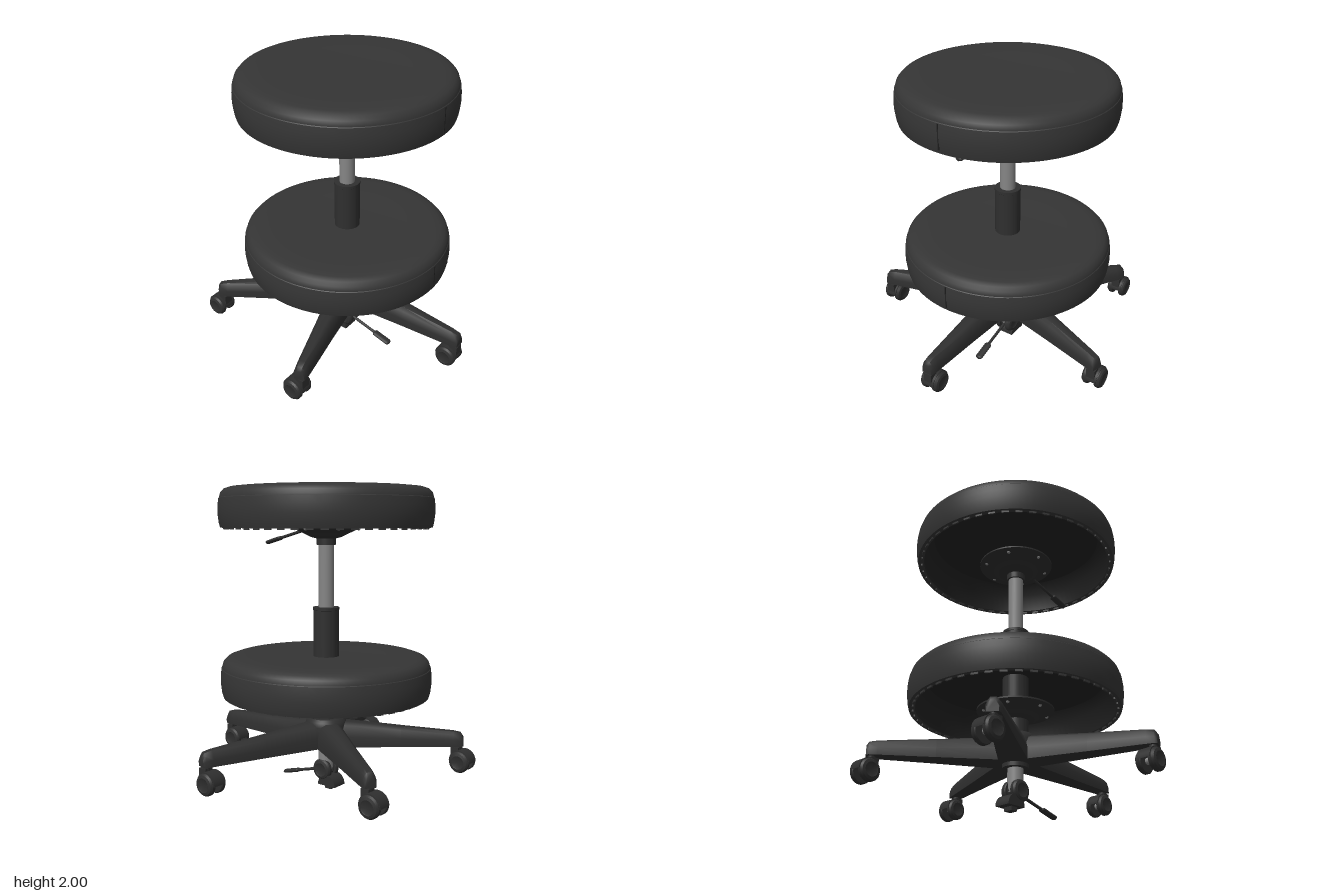
import * as THREE from 'three';
import { toCreasedNormals } from 'three/addons/utils/BufferGeometryUtils.js';

const mat = (name, color) => {
  const m = new THREE.MeshStandardMaterial({ color });
  m.name = name;
  return m;
};

export function createModel() {
  const vinyl = mat('vinyl', 0x353535);
  const plastic = mat('blackPlastic', 0x2f2f2f);
  const lining = mat('darkLining', 0x222222);
  const metal = mat('brushedSteel', 0x858585);

  const model = new THREE.Group();
  model.name = 'doubleSeatStool';
  const AXIS = -0.05; // x of the central column

  const add = (parent, name, geo, material, x = 0, y = 0, z = 0) => {
    const m = new THREE.Mesh(geo, material);
    m.name = name;
    m.position.set(x, y, z);
    parent.add(m);
    return m;
  };
  const lathe = (pts, seg = 64) => toCreasedNormals(
    new THREE.LatheGeometry(pts.map(p => new THREE.Vector2(p[0], p[1])), seg), 0.6);
  const rod = (r, y0, y1, r2 = r) => new THREE.CylinderGeometry(r2, r, y1 - y0, 40).translate(0, (y0 + y1) / 2, 0);

  // Angled release lever: thin rod with a flattened grip
  function lever(parent, x0, y0, x1, y1) {
    const g = new THREE.Group();
    g.name = 'heightLever';
    const len = Math.hypot(x1 - x0, y1 - y0);
    add(g, 'leverRod', new THREE.CylinderGeometry(0.01, 0.01, len, 12).rotateZ(Math.PI / 2), plastic, len / 2);
    add(g, 'leverGrip', new THREE.CapsuleGeometry(0.016, 0.11, 6, 16).rotateZ(Math.PI / 2).scale(1, 0.85, 1.6),
      plastic, len - 0.07);
    g.position.set(x0, y0, 0);
    g.rotation.z = Math.atan2(y1 - y0, x1 - x0);
    parent.add(g);
  }

  // Cushion: hollow underneath, piped edge, staples and a mounting dish
  function seat(name, y) {
    const g = new THREE.Group();
    g.name = name;
    g.position.set(AXIS, y, 0);
    add(g, 'cushion', lathe([
      [0.64, 0.005], [0.68, 0], [0.688, 0.03], [0.695, 0.09], [0.694, 0.14], [0.688, 0.185], [0.684, 0.189],
      [0.683, 0.195], [0.676, 0.22], [0.655, 0.242], [0.62, 0.254], [0.57, 0.259], [0.4, 0.254], [0, 0.25],
    ], 96), vinyl);
    add(g, 'cushionLining', lathe([
      [0, 0.235], [0.45, 0.235], [0.58, 0.21], [0.63, 0.14], [0.64, 0.005],
    ], 96), lining);
    add(g, 'sideSeam', new THREE.BoxGeometry(0.006, 0.16, 0.008), lining, 0.692, 0.105, 0);
    for (let i = 0; i < 48; i++) {
      const a = (i / 48) * Math.PI * 2;
      const s = add(g, 'staple', new THREE.BoxGeometry(0.01, 0.016, 0.045), vinyl,
        0.655 * Math.cos(a), -0.002, 0.655 * Math.sin(a));
      s.rotation.y = -a;
    }
    add(g, 'mountingDish', lathe([
      [0.05, -0.11], [0.062, -0.11], [0.062, -0.07], [0.1, -0.06], [0.13, -0.045], [0.2, -0.012],
      [0.25, 0.004], [0.25, 0.014], [0.05, 0.014],
    ]), plastic);
    for (let i = 0; i < 6; i++) {
      const a = (i + 0.5) / 6 * Math.PI * 2;
      add(g, 'dishScrew', new THREE.SphereGeometry(0.012, 12, 8), metal, 0.21 * Math.cos(a), -0.006, 0.21 * Math.sin(a));
    }
    model.add(g);
    return g;
  }
  const upper = seat('upperSeat', 1.74);
  lever(upper, 0.1, 0.005, 0.52, -0.105);
  seat('lowerSeat', 0.65);

  // Central column
  const column = new THREE.Group();
  column.name = 'column';
  column.position.x = AXIS;
  model.add(column);
  add(column, 'gasPiston', rod(0.05, 0.12, 1.75), metal);
  add(column, 'columnSleeve', lathe([
    [0.05, 0.275], [0.084, 0.275], [0.084, 1.205], [0.086, 1.207], [0.086, 1.225], [0.05, 1.225],
  ]), plastic);

  // Twin-wheel caster, rolling along x
  const wheelGeo = toCreasedNormals(new THREE.LatheGeometry([
    [0, -0.02], [0.066, -0.02], [0.071, -0.014], [0.071, 0.006], [0.062, 0.018], [0.045, 0.023], [0.04, 0.02], [0, 0.022],
  ].map(p => new THREE.Vector2(...p)), 32), 0.6).rotateX(Math.PI / 2);
  function caster(x, z) {
    const g = new THREE.Group();
    g.name = 'caster';
    g.position.set(x, 0.2, z);
    for (const s of [1, -1]) {
      const w = add(g, 'wheel', wheelGeo, plastic, -0.038, 0, s * 0.045);
      if (s < 0) w.rotation.y = Math.PI;
    }
    // hood between and over the wheels
    add(g, 'hood', new THREE.CylinderGeometry(0.076, 0.076, 0.09, 24, 1, false, 0, Math.PI)
      .rotateX(Math.PI / 2).rotateZ(Math.PI / 2), plastic, -0.038, 0, 0);
    add(g, 'axle', new THREE.CylinderGeometry(0.02, 0.02, 0.08, 16).rotateX(Math.PI / 2), metal, -0.038, 0, 0);
    add(g, 'swivelBlock', new THREE.BoxGeometry(0.055, 0.09, 0.06), plastic, 0.006, 0.045, 0);
    add(g, 'stem', rod(0.024, 0.06, 0.125), plastic);
    model.add(g);
  }

  // Tapering arm lofted from bevelled sections: [distance, half width, top height]
  function armGeometry() {
    const stations = [[0, 0.105, 0.48], [0.13, 0.09, 0.463], [0.5, 0.065, 0.428], [0.85, 0.046, 0.398],
      [0.9, 0.042, 0.388], [0.915, 0.034, 0.365]];
    const b = 0.3;
    const rings = stations.map(([x, w, t]) => [
      [w, b], [-w, b], [-w, b + 0.45 * (t - b)], [-0.75 * w, t - 0.018], [-0.4 * w, t],
      [0.4 * w, t], [0.75 * w, t - 0.018], [w, b + 0.45 * (t - b)],
    ].map(([z, y]) => [x, y, z]));
    const pos = [];
    const n = 8;
    for (let i = 0; i < rings.length - 1; i++) {
      for (let j = 0; j < n; j++) {
        const k = (j + 1) % n;
        const [p, q, r, s] = [rings[i][j], rings[i][k], rings[i + 1][k], rings[i + 1][j]];
        pos.push(...p, ...q, ...r, ...p, ...r, ...s);
      }
    }
    const end = rings[rings.length - 1];
    for (let j = 1; j < n - 1; j++) pos.push(...end[0], ...end[j], ...end[j + 1]);
    const g = new THREE.BufferGeometry();
    g.setAttribute('position', new THREE.Float32BufferAttribute(pos, 3));
    return toCreasedNormals(g, 0.8);
  }

  // Five-star base
  const armGeo = armGeometry();
  for (let i = 0; i < 5; i++) {
    const a = (i / 5) * Math.PI * 2;
    add(model, 'baseArm', armGeo, plastic, AXIS, 0, 0).rotation.y = -a;
    caster(AXIS + 0.88 * Math.cos(a), 0.88 * Math.sin(a));
  }
  add(model, 'baseHub', lathe([
    [0.08, 0.3], [0.13, 0.3], [0.14, 0.44], [0.132, 0.47], [0.115, 0.488], [0.08, 0.488],
  ]), plastic, AXIS, 0, 0);

  // Valve mechanism hanging below the column
  const valve = new THREE.Group();
  valve.name = 'valveMechanism';
  valve.position.x = AXIS;
  model.add(valve);
  for (const s of [1, -1]) {
    const w = add(valve, 'valveDisc', wheelGeo, plastic, 0, 0.13, s * 0.04);
    if (s < 0) w.rotation.y = Math.PI;
  }
  add(valve, 'valveCore', new THREE.CylinderGeometry(0.05, 0.05, 0.06, 24).rotateX(Math.PI / 2), plastic, 0, 0.13, 0);
  add(valve, 'lowerHousing', new THREE.CylinderGeometry(0.07, 0.07, 0.11, 24, 1, false, 0, Math.PI)
    .rotateX(Math.PI / 2).rotateZ(Math.PI / 2), plastic, -0.045, 0.03, 0);
  add(valve, 'housingBase', new THREE.BoxGeometry(0.14, 0.006, 0.11), plastic, -0.045, 0.029, 0);
  add(valve, 'lowerFoot', new THREE.BoxGeometry(0.05, 0.05, 0.06), plastic, -0.04, 0.025, 0);
  lever(valve, 0.04, 0.12, 0.37, 0.03);

  return model;
}
